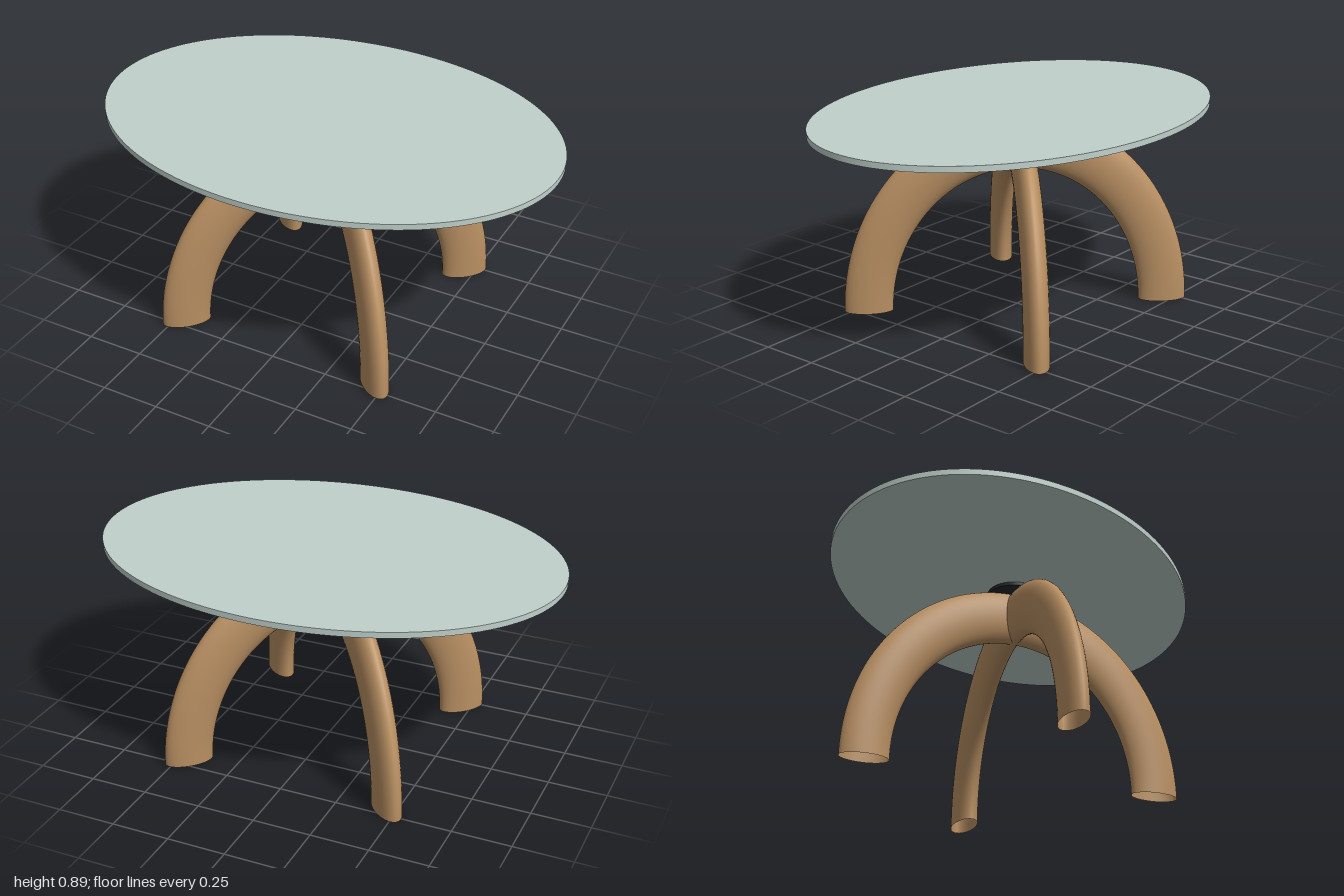
import * as THREE from 'three';

export function createModel() {
  const model = new THREE.Group();
  model.name = 'ovalTable';

  const glass = new THREE.MeshStandardMaterial({ color: 0xc0d0cb });
  const wood = new THREE.MeshStandardMaterial({ color: 0xb88f62, side: THREE.DoubleSide });
  const dark = new THREE.MeshStandardMaterial({ color: 0x24282a });

  const add = (name, geometry, material) => {
    const mesh = new THREE.Mesh(geometry, material);
    mesh.name = name;
    model.add(mesh);
    return mesh;
  };

  // Oval top: a thin disc squeezed in depth
  const top = new THREE.CylinderGeometry(1, 1, 0.025, 128);
  top.scale(1, 1, 0.72);
  top.translate(0, 0.8775, 0);
  add('tableTop', top, glass);

  // Round mounting pad between the arches and the top
  const pad = new THREE.CylinderGeometry(0.115, 0.115, 0.015, 64);
  pad.translate(0, 0.8575, 0);
  add('mountingPad', pad, dark);

  // Two crossed leg arches: half rings, stretched upward and flattened sideways, open at the feet
  const arch = new THREE.TorusGeometry(0.643, 0.105, 32, 96, Math.PI);
  arch.scale(1, 1.15, 0.5);
  for (const [name, turn] of [['legArchA', 1], ['legArchB', -1]]) {
    add(name, arch, wood).rotation.y = turn * Math.PI / 4;
  }

  return model;
}
